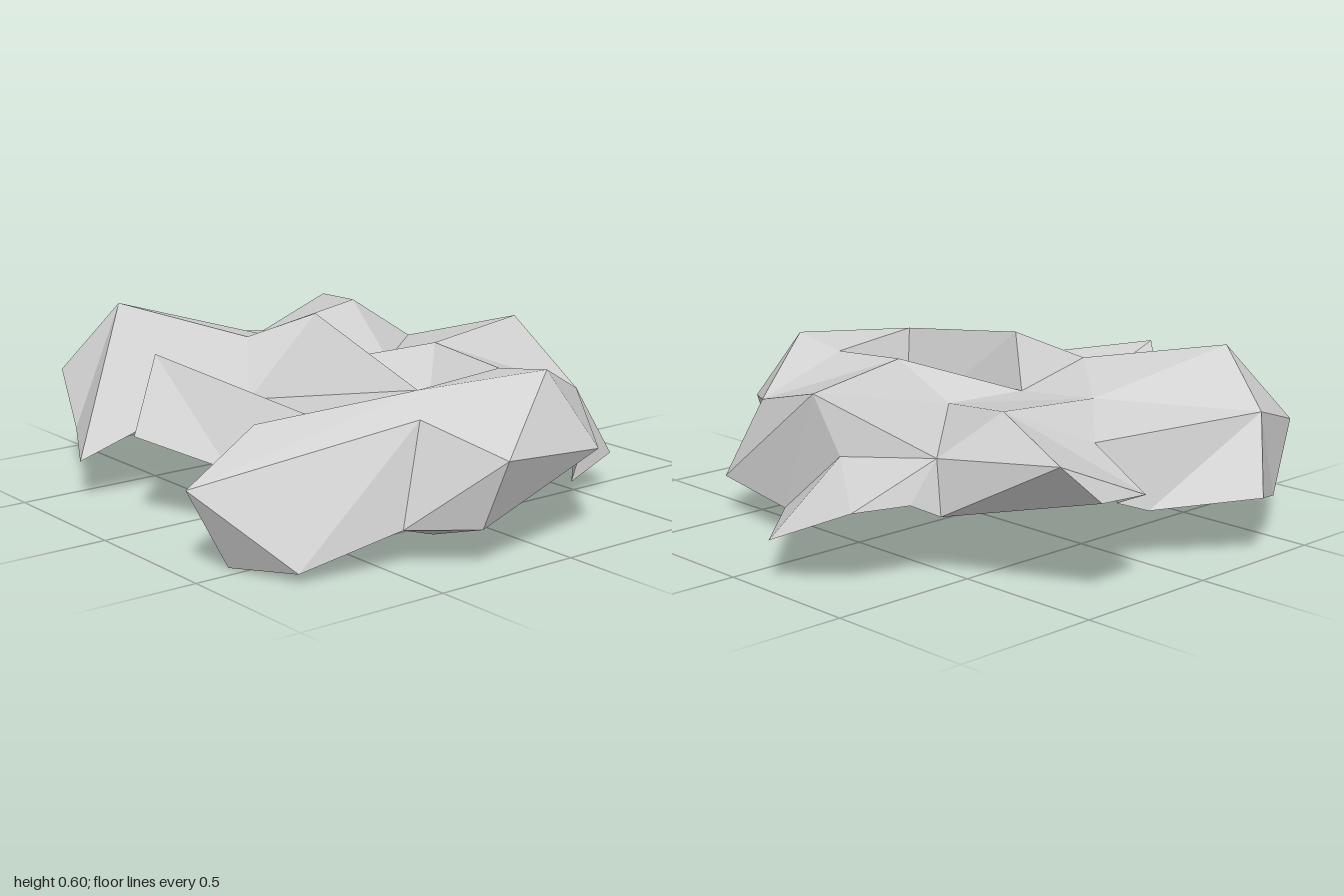
import * as THREE from 'three';

// Points are [x, y, z]. Outline of the rock sheet seen from above, walked from the back peak.
const rim = [
  [-0.28, 0.2, -1], [0, 0.17, -0.78], [0.135, 0.22, -0.77], [0.21, 0.3, -0.95], [0.42, 0.32, -0.97],
  [0.54, 0.44, -0.92], [0.57, 0.2, -0.46], [0.67, 0.25, -0.435], [0.86, 0.255, -0.39], [0.965, 0.14, -0.135],
  [0.64, 0.1, 0.2], [0.6, 0.125, 0.565], [0.45, 0.365, 0.55], [0.205, 0.28, 0.9], [-0.25, 0.34, 0.995],
  [-0.46, 0.12, 0.775], [-0.775, 0.03, 0.69], [-0.97, 0.25, 0.41], [-0.675, 0.21, 0.2], [-0.83, 0.28, -0.09],
  [-0.64, 0.25, -0.29], [-0.84, 0.13, -0.41], [-0.73, 0.18, -0.62], [-0.68, 0.345, -0.79], [-0.41, 0.43, -0.88],
];

// Peaks and dips inside the outline (numbered on from the rim: 25 to 45)
const crags = [
  [-0.55, 0.585, -0.62], [-0.32, 0.51, -0.2], [-0.4, 0.335, -0.08], [-0.13, 0.41, -0.1], [-0.165, 0.595, -0.035],
  [-0.1, 0.45, -0.45], [0.135, 0.39, -0.675], [0.37, 0.5, -0.52], [0.54, 0.365, -0.41], [0.64, 0.325, -0.08],
  [0.636, 0.5, 0.05], [0.135, 0.4, -0.03], [0.12, 0.505, 0.23], [0.11, 0.48, 0.55], [0.11, 0.515, 0.765],
  [-0.37, 0.43, 0.74], [-0.3, 0.49, 0.645], [-0.1, 0.205, 0.44], [-0.51, 0.395, 0.37], [-0.68, 0.385, 0.345],
  [-0.695, 0.51, -0.17],
];
const points = [...rim, ...crags];

// Creases that must run between two numbered points
const creases = [
  [29, 41], [29, 42], [28, 42], [27, 43], [27, 41], [45, 43], [45, 27], [44, 41], [18, 41], [17, 41], [17, 40],
  [16, 40], [39, 41], [39, 40], [39, 14], [38, 41], [42, 37], [28, 37], [28, 36], [26, 28], [25, 26], [25, 20],
  [25, 21], [20, 27], [25, 30], [24, 31], [24, 30], [0, 31], [31, 3], [3, 5], [3, 32], [5, 33], [36, 32], [36, 33],
  [30, 36], [36, 35], [33, 35], [35, 12], [37, 12], [39, 12], [35, 11], [34, 8], [33, 8], [34, 10],
].map((pair) => pair.map((i) => points[i]));

const cross = (a, b, c) => (b[0] - a[0]) * (c[2] - a[2]) - (b[2] - a[2]) * (c[0] - a[0]);

function inCircle(a, b, c, d) {
  const [p, q, r] = [a, b, c].map((v) => {
    const x = v[0] - d[0], z = v[2] - d[2];
    return [x, z, x * x + z * z];
  });
  return p[0] * (q[1] * r[2] - q[2] * r[1]) - p[1] * (q[0] * r[2] - q[2] * r[0])
    + p[2] * (q[0] * r[1] - q[1] * r[0]) > 1e-9;
}

// Inner edges whose two triangles could share the other diagonal instead
function flippable(tris) {
  const found = [];
  tris.forEach((t, i) => t.forEach((a, e) => {
    const b = t[(e + 1) % 3], c = t[(e + 2) % 3];
    const j = tris.findIndex((o, n) => n > i && o.includes(a) && o.includes(b));
    if (j < 0) return;
    const d = tris[j].find((p) => p !== a && p !== b);
    if (cross(c, a, d) > 0 && cross(d, b, c) > 0) found.push({ i, j, a, b, c, d });
  }));
  return found;
}

function flip(tris, { i, j, a, b, c, d }) {
  tris[i] = [c, a, d];
  tris[j] = [d, b, c];
}

// Fill the outline, add the crags, turn edges onto the creases, then even out the remaining facets
function sheetFacets() {
  const contour = rim.map((p) => new THREE.Vector2(p[0], p[2]));
  const tris = THREE.ShapeUtils.triangulateShape(contour, []).map((t) => {
    const [a, b, c] = t.map((i) => rim[i]);
    return cross(a, b, c) > 0 ? [a, b, c] : [a, c, b];
  });
  for (const p of crags) {
    const k = tris.findIndex(([a, b, c]) => cross(a, b, p) >= 0 && cross(b, c, p) >= 0 && cross(c, a, p) >= 0);
    if (k < 0) continue;
    const [a, b, c] = tris[k];
    tris.splice(k, 1, [a, b, p], [b, c, p], [c, a, p]);
  }
  const evenOut = (locked) => {
    for (let n = 0; n < 500; n++) {
      const edge = flippable(tris).find(({ a, b, c, d }) => inCircle(a, b, c, d)
        && !locked.some((l) => l.includes(a) && l.includes(b)));
      if (!edge) break;
      flip(tris, edge);
    }
  };
  evenOut([]);
  for (const [p, q] of creases) {
    for (let n = 0; n < 60; n++) {
      const over = flippable(tris).filter(({ a, b }) => cross(p, q, a) * cross(p, q, b) < 0
        && cross(a, b, p) * cross(a, b, q) < 0);
      if (!over.length) break;
      flip(tris, over[n % over.length]);
    }
  }
  evenOut(creases);
  return tris.map(([a, b, c]) => [a, c, b]);
}

function facetMesh(name, tris, material) {
  const geometry = new THREE.BufferGeometry();
  geometry.setAttribute('position', new THREE.Float32BufferAttribute(tris.flat(2), 3));
  geometry.computeVertexNormals();
  const mesh = new THREE.Mesh(geometry, material);
  mesh.name = name;
  return mesh;
}

// A flap hangs from a run of rim points to a lower edge: zigzag of triangles
function strip(path) {
  return path.slice(2).map((p, i) => (i % 2 ? [path[i + 1], path[i], p] : [path[i], path[i + 1], p]));
}

export function createModel() {
  const stone = new THREE.MeshStandardMaterial({ color: 0xd2d2d2, flatShading: true, side: THREE.DoubleSide });
  stone.name = 'stone grey';
  const group = new THREE.Group();
  group.name = 'rockSlab';
  group.add(facetMesh('rockSheet', sheetFacets(), stone));

  // Flaps folding under the rim
  const backFoot = [-0.52, 0.13, -0.855], backNotch = [-0.645, 0.185, -0.755], sideFoot = [-0.67, 0.12, -0.635];
  const frontFoot = [-0.275, 0.12, 0.915], frontToe = [-0.345, 0.085, 0.775];
  const leftFoot = [0.44, 0.05, 0.55], leftNotch = [0.29, 0.235, 0.745], rightFoot = [-0.85, 0, 0.445];
  group.add(
    facetMesh('backFlap', strip([rim[0], rim[24], backFoot, rim[23], backNotch]), stone),
    facetMesh('sideFlap', strip([backNotch, rim[23], sideFoot, rim[22]]), stone),
    facetMesh('cornerFlap', strip([rim[5], rim[6], rim[4]]), stone),
    facetMesh('frontFlap', strip([rim[13], rim[14], frontFoot, rim[15], frontToe]), stone),
    facetMesh('leftFlap', strip([rim[13], leftNotch, rim[12], leftFoot, rim[11]]), stone),
    facetMesh('rightFlap', strip([rim[16], rim[17], rightFoot, rim[18]]), stone),
  );
  return group;
}
